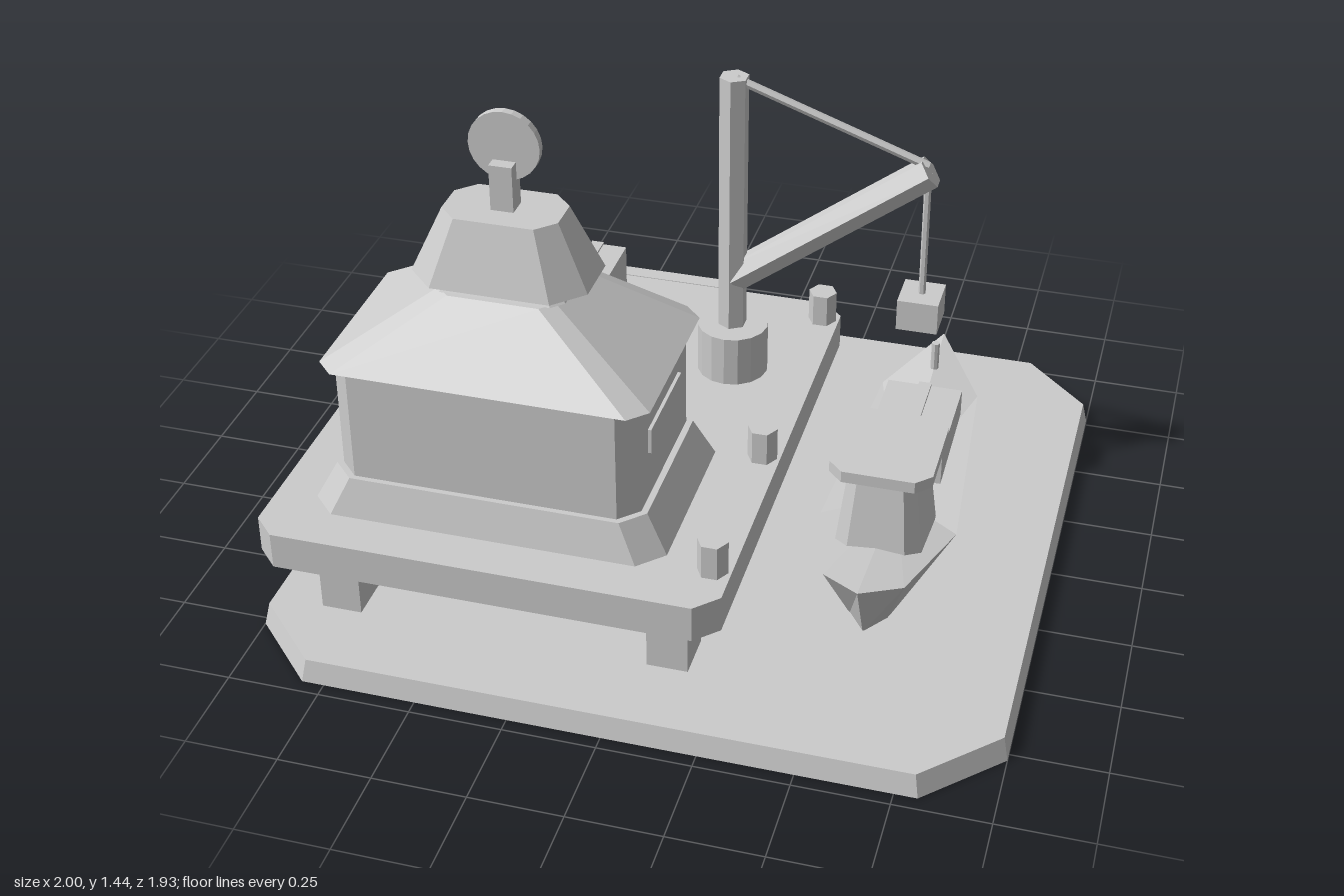
import * as THREE from 'three';

// double sided because the ground plate is an open shell
const grey = new THREE.MeshStandardMaterial({ color: 0xcccccc, flatShading: true, side: THREE.DoubleSide });
grey.name = 'plain grey';
const V = (x, y, z) => new THREE.Vector3(x, y, z);

export function createModel() {
  const model = new THREE.Group();
  model.name = 'harbourDock';

  const add = (name, geo, x = 0, y = 0, z = 0, parent = model) => {
    const mesh = new THREE.Mesh(geo, grey);
    mesh.name = name;
    mesh.position.set(x, y, z);
    parent.add(mesh);
    return mesh;
  };
  const group = (name, x = 0, y = 0, z = 0) => {
    const g = new THREE.Group();
    g.name = name;
    g.position.set(x, y, z);
    model.add(g);
    return g;
  };
  // box given by its min and max on each axis
  const box = (name, x0, x1, y0, y1, z0, z1, parent) =>
    add(name, new THREE.BoxGeometry(x1 - x0, y1 - y0, z1 - z0),
      (x0 + x1) / 2, (y0 + y1) / 2, (z0 + z1) / 2, parent);

  // solid through matching rings, counterclockwise from above
  const loft = (rings, { topY, openBottom = false } = {}) => {
    const pos = [];
    const tri = (...pts) => pts.forEach((p) => pos.push(p.x, p.y, p.z));
    const n = rings[0].length;
    const mid = (r) => r.reduce((s, p) => s.add(p), V(0, 0, 0)).divideScalar(n);
    const low = rings[0], high = rings[rings.length - 1];
    const lowMid = mid(low), highMid = mid(high);
    if (topY !== undefined) highMid.y = topY;
    for (let j = 0; j < n; j++) {
      const k = (j + 1) % n;
      for (let i = 0; i < rings.length - 1; i++) {
        const a = rings[i], b = rings[i + 1];
        tri(a[j], a[k], b[k]);
        tri(a[j], b[k], b[j]);
      }
      tri(highMid, high[j], high[k]);
      if (!openBottom) tri(lowMid, low[k], low[j]);
    }
    const geo = new THREE.BufferGeometry();
    geo.setAttribute('position', new THREE.Float32BufferAttribute(pos, 3));
    geo.computeVertexNormals();
    return geo;
  };
  // rectangle with cut corners, stacked by levels [y, halfX, halfZ, cut]
  const cutBlock = (levels, options) => loft(levels.map(([y, hx, hz, c]) => [
    [hx, hz - c], [hx, c - hz], [hx - c, -hz], [c - hx, -hz],
    [-hx, c - hz], [-hx, hz - c], [c - hx, hz], [hx - c, hz],
  ].map(([x, z]) => V(x, y, z))), options);
  // straight bar between two points
  const bar = (name, a, b, r, sides, parent) => {
    const m = add(name, new THREE.CylinderGeometry(r, r, a.distanceTo(b), sides), 0, 0, 0, parent);
    m.position.lerpVectors(a, b, 0.5);
    m.quaternion.setFromUnitVectors(V(0, 1, 0), b.clone().sub(a).normalize());
  };
  // disc facing along z
  const disc = (name, r, depth, x, y, z, parent) =>
    add(name, new THREE.CylinderGeometry(r, r, depth, 24).rotateX(Math.PI / 2), x, y, z, parent);

  // ground plate, platform and legs
  add('groundPlate', cutBlock([[0, 1, 0.963, 0.19], [0.064, 0.987, 0.95, 0.187]], { openBottom: true }));
  add('platform', cutBlock([[0.273, 0.62, 0.743, 0.06], [0.375, 0.62, 0.743, 0.06]]), -0.351, 0, 0.112);
  for (const x of [-0.79, 0.11])
    for (const z of [-0.53, 0.67])
      box('platformLeg', x - 0.055, x + 0.055, 0.055, 0.28, z - 0.064, z + 0.064);

  // stairs down to the ground plate
  const stairs = group('stairs');
  for (let i = 0; i < 7; i++) {
    const z = -0.96 + i * 0.0465;
    box('step', -0.566, -0.101, 0.064, 0.111 + i * 0.044, z, z + 0.0465, stairs);
  }

  // house
  const house = group('house', -0.384, 0, 0.432);
  const part = (name, ...levels) => add(name, cutBlock(levels), 0, 0, 0, house);
  part('houseFooting', [0.374, 0.477, 0.3, 0.065], [0.48, 0.42, 0.272, 0.058]);
  part('houseWalls', [0.478, 0.403, 0.258, 0.05], [0.799, 0.403, 0.258, 0.05]);
  part('roof', [0.797, 0.435, 0.276, 0.048], [0.982, 0.155, 0.125, 0.035]);
  part('roofCollar', [0.981, 0.176, 0.112, 0.03], [1.002, 0.16, 0.1, 0.03]);
  part('upperRoof', [1.011, 0.232, 0.148, 0.075], [1.186, 0.152, 0.093, 0.048]);

  // sign wheel on the roof
  box('wheelPost', -0.03, 0.03, 1.18, 1.31, -0.03, 0.026, house);
  disc('wheelDisc', 0.093, 0.022, 0, 1.35, -0.018, house);
  disc('wheelRing', 0.05, 0.014, 0, 1.35, -0.036, house);
  disc('wheelHub', 0.018, 0.012, 0, 1.35, -0.048, house);

  // doorway and windows
  box('door', -0.125, 0.125, 0.48, 0.71, -0.27, -0.255, house);
  for (const s of [-1, 1]) {
    box('doorJamb', s * 0.14 - 0.015, s * 0.14 + 0.015, 0.48, 0.71, -0.278, -0.255, house);
    box('backWindow', s * 0.26 - 0.06, s * 0.26 + 0.06, 0.62, 0.69, -0.269, -0.255, house);
  }
  box('doorLintel', -0.172, 0.172, 0.703, 0.735, -0.298, -0.255, house);
  disc('doorBadge', 0.026, 0.012, 0, 0.64, -0.275, house);
  disc('lintelBadge', 0.036, 0.02, 0, 0.766, -0.268, house);
  box('sideWindow', 0.4, 0.412, 0.615, 0.685, -0.13, 0.143, house);

  // pot beside the house
  add('pot', new THREE.LatheGeometry([
    [0, 0.374], [0.048, 0.374], [0.083, 0.465], [0.083, 0.49], [0.062, 0.507], [0.062, 0.522], [0, 0.522],
  ].map(([r, y]) => new THREE.Vector2(r, y)), 14), -0.786, 0, 0.135);

  // crates with straps
  for (const [x, z] of [[-0.674, -0.457], [-0.466, -0.438]]) {
    box('crate', x - 0.088, x + 0.088, 0.374, 0.534, z - 0.09, z + 0.09);
    box('crateStrap', x - 0.018, x + 0.018, 0.374, 0.54, z - 0.092, z + 0.092);
  }

  // bollards along the quay edge
  for (const z of [-0.54, 0.185, 0.695])
    add('bollard', new THREE.CylinderGeometry(0.041, 0.041, 0.1, 6).rotateY(Math.PI / 6), 0.22, 0.421, z);

  // crane
  const crane = group('crane');
  const tip = V(0.552, 1.048, -0.275);
  add('craneBase', new THREE.CylinderGeometry(0.1, 0.1, 0.15, 16), 0.029, 0.447, -0.228, crane);
  add('mast', new THREE.CylinderGeometry(0.041, 0.041, 0.79, 6), 0.027, 0.893, -0.228, crane);
  bar('boom', V(0.03, 0.67, -0.233), tip.clone().add(V(0.006, 0.004, 0)), 0.046, 6, crane);
  bar('stayCable', V(0.033, 1.281, -0.228), tip.clone().add(V(0, 0.02, 0)), 0.012, 6, crane);
  bar('hoistCable', tip, V(0.553, 0.66, -0.276), 0.01, 6, crane);
  box('hangingLoad', 0.495, 0.609, 0.583, 0.674, -0.336, -0.216, crane);

  // boat hull: half stations [z, sheer half width, sheer y, keel z, keel half width]
  const boat = group('boat', 0.563, 0, 0);
  const stations = [
    [0.555, 0, 0.265, 0.45, 0], [0.475, 0.107, 0.245, 0.38, 0.05], [0.14, 0.187, 0.187, 0.12, 0.11],
    [-0.465, 0.14, 0.235, -0.41, 0.065], [-0.68, 0, 0.297, -0.58, 0],
  ];
  const ring = (f) => [
    ...stations.map((s) => f(s, 1)),
    ...stations.slice(1, -1).reverse().map((s) => f(s, -1)),
  ];
  add('hull', loft([
    ring(([, , , z, w], s) => V(s * w, 0.055, z)),
    ring(([z, w, y], s) => V(s * w, y, z)),
  ], { topY: 0.195 }), 0, 0, 0, boat);
  const cabin = (name, ...levels) => add(name, cutBlock(levels), 0, 0, 0.181, boat);
  cabin('cabin', [0.17, 0.122, 0.144, 0.04], [0.447, 0.09, 0.111, 0.03]);
  cabin('cabinRoof', [0.443, 0.137, 0.154, 0.04], [0.476, 0.137, 0.154, 0.04]);
  box('boatCargo', -0.107, 0.107, 0.17, 0.309, -0.372, -0.056, boat);
  box('cargoStrap', -0.018, 0.018, 0.17, 0.318, -0.374, -0.054, boat);
  add('bowPost', new THREE.CylinderGeometry(0.012, 0.012, 0.16, 8), 0, 0.278, -0.527, boat);

  return model;
}
